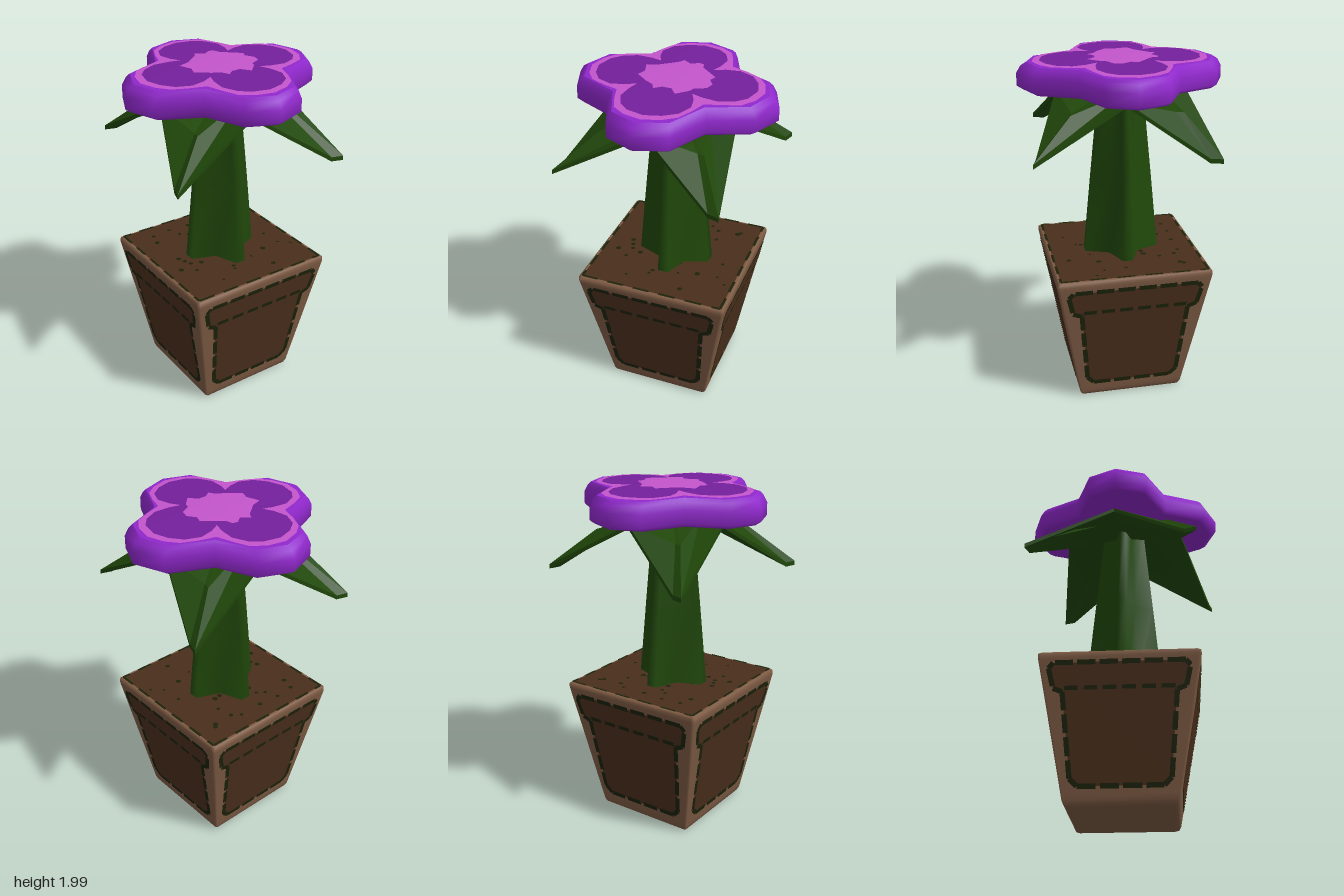
import * as THREE from 'three';

const mat = (name, color) => {
  const m = new THREE.MeshStandardMaterial({ color });
  m.name = name;
  return m;
};

// Repeat the [x, z] points of one quarter four times around the y axis
function quarterTurns(points) {
  const out = [];
  let quarter = points;
  for (let k = 0; k < 4; k++) {
    out.push(...quarter);
    quarter = quarter.map(([x, z]) => [-z, x]);
  }
  return out;
}
const ring = (outline, scale, y) => outline.map(([x, z]) => [x * scale, y, z * scale]);

// Skin a stack of equal rings, bottom to top, with optional centre heights for the end caps
function loft(rings, { bottom, top, flat = false } = {}) {
  const n = rings[0].length, pos = rings.flat(2), idx = [];
  for (let i = 0; i < rings.length - 1; i++) {
    for (let j = 0; j < n; j++) {
      const a = i * n + j, b = i * n + (j + 1) % n;
      idx.push(a, a + n, b, b, a + n, b + n);
    }
  }
  const cap = (points, y, up) => {
    const start = pos.length / 3;
    pos.push(...points.flat(), 0, y, 0);
    for (let j = 0; j < n; j++) {
      const a = start + j, b = start + (j + 1) % n;
      idx.push(start + n, up ? b : a, up ? a : b);
    }
  };
  if (bottom !== undefined) cap(rings[0], bottom, false);
  if (top !== undefined) cap(rings[rings.length - 1], top, true);
  let g = new THREE.BufferGeometry();
  g.setAttribute('position', new THREE.Float32BufferAttribute(pos, 3));
  g.setIndex(idx);
  if (flat) g = g.toNonIndexed();
  g.computeVertexNormals();
  return g;
}

// Flat polygon from [x, y] points
function polygon(points) {
  return new THREE.ShapeGeometry(new THREE.Shape(points.map(([x, y]) => new THREE.Vector2(x, y))));
}

// Broken line of narrow quads along a path
function dashes(path, width, dash = 0.1, gap = 0.022) {
  const quads = [];
  for (let i = 0; i < path.length - 1; i++) {
    const [ax, ay] = path[i], [bx, by] = path[i + 1];
    const len = Math.hypot(bx - ax, by - ay), ux = (bx - ax) / len, uy = (by - ay) / len;
    const w = width / 2;
    for (let s = 0; s < len; s += dash + gap) {
      const e = Math.min(s + dash, len);
      quads.push([[s, -w], [e, -w], [e, w], [s, w]].map(([u, v]) => [ax + ux * u - uy * v, ay + uy * u + ux * v]));
    }
  }
  return quads;
}

export function createModel() {
  const model = new THREE.Group();
  model.name = 'pottedFlower';
  const clay = mat('clay', 0x7e5b44), darkClay = mat('darkClay', 0x4a2f1c), moss = mat('moss', 0x1c220a);
  const green = mat('leafGreen', 0x20470a), violet = mat('violet', 0x9028cc);
  const purple = mat('deepPurple', 0x74209c), pink = mat('orchidPink', 0xc455cc);
  const add = (parent, name, geometry, material) => {
    const mesh = new THREE.Mesh(geometry, material);
    mesh.name = name;
    parent.add(mesh);
    return mesh;
  };

  // Square tapered pot with softened corners
  const square = quarterTurns([[1, -0.97], [1, 0.97]]);
  const half = y => 0.31 + 0.137 * (y - 0.03) / 0.77;
  const potRings = [[0.285, 0], [0.3, 0.008], [half(0.03), 0.03], [half(0.06), 0.06], [half(0.78), 0.78], [half(0.8), 0.8], [0.446, 0.82], [0.436, 0.827]];
  add(model, 'pot', loft(potRings.map(([s, y]) => ring(square, s, y)), { bottom: 0, top: 0.827 }), clay);

  // Painted panel on each side, shaped like a lipped pot
  const panelOutline = [[-0.36, 0.62], [-0.31, 0.6], [-0.27, 0.14], [-0.23, 0.1], [0.23, 0.1], [0.27, 0.14],
    [0.31, 0.6], [0.36, 0.62], [0.385, 0.73], [0.36, 0.76], [-0.36, 0.76], [-0.385, 0.73]];
  const lean = (g, offset) => {
    const p = g.attributes.position;
    for (let i = 0; i < p.count; i++) p.setZ(i, half(p.getY(i)) + offset);
    g.computeVertexNormals();
    return g;
  };
  const trim = [...dashes([...panelOutline, panelOutline[0]], 0.028), ...dashes([[-0.3, 0.62], [0.3, 0.62]], 0.024, 0.075, 0.03)];
  for (let k = 0; k < 4; k++) {
    const side = new THREE.Group();
    side.name = 'potSide' + (k + 1);
    side.rotation.y = k * Math.PI / 2;
    add(side, 'panel', lean(polygon(panelOutline), 0.002), darkClay);
    trim.forEach(q => add(side, 'panelTrim', lean(polygon(q), 0.004), moss));
    model.add(side);
  }

  // Soil with scattered specks
  const soil = new THREE.Group();
  soil.name = 'soil';
  soil.rotation.x = -Math.PI / 2;
  soil.position.y = 0.829;
  const s = 0.425;
  const corners = [[-s, -s], [s, -s], [s, s], [-s, s]];
  add(soil, 'soilSurface', polygon(corners), darkClay);
  let seed = 7;
  const random = () => (seed = (seed * 16807) % 2147483647) / 2147483647;
  for (let i = 0; i < 36; i++) {
    const speck = add(soil, 'speck', new THREE.CircleGeometry(0.009 + random() * 0.009, 6), moss);
    speck.position.set((random() - 0.5) * 0.76, (random() - 0.5) * 0.76, 0.002);
  }
  dashes([...corners, corners[0]], 0.016, 0.1, 0.06).forEach(q => {
    add(soil, 'soilEdge', polygon(q), moss).position.z = 0.002;
  });
  model.add(soil);

  // Four-ribbed tapering stem
  const ribs = quarterTurns([[1, -0.14], [1, 0.14], [0.38, 0.38]]);
  add(model, 'stem', loft([[0.22, 0.82], [0.175, 1.3], [0.125, 1.81]].map(([r, y]) => ring(ribs, r, y))), green);

  // Four flat drooping leaves joined into one collar
  const edge = quarterTurns([[0.36, 0.04], [0.44, 0.555], [0.375, 0.535]]);
  const crown = quarterTurns([[0.2, 0.02], [0.28, 0.33], [0.24, 0.32]]);
  const raise = (outline, valley, leaf) => outline.map(([x, z], i) => [x, i % 3 ? leaf : valley, z]);
  add(model, 'leaves', loft([
    raise(crown, 1.795, 1.695), raise(edge, 1.785, 1.505), raise(edge, 1.808, 1.53), raise(crown, 1.822, 1.735),
  ], { bottom: 1.8, top: 1.83, flat: true }), green);

  // Four-lobed blossom
  const lobes = quarterTurns([[0.515, -0.16], [0.58, 0.018], [0.505, 0.185], [0.275, 0.28]]);
  const lobesTop = quarterTurns([[0.475, -0.145], [0.525, 0.016], [0.465, 0.168], [0.252, 0.256]]);
  const flower = new THREE.Group();
  flower.name = 'flower';
  const body = [[0.94, 1.818], [1, 1.84], [1, 1.91], [0.96, 1.95]].map(([k, y]) => ring(lobes, k, y));
  add(flower, 'blossom', loft([...body, ring(lobesTop, 1, 1.97)], { bottom: 1.82, top: 1.985 }), violet);

  // Thin painted layers that follow the shallow dome of the blossom
  const layer = (name, outline, lift, material) => {
    const rim = outline.map(([x, z]) => [x, 1.986 - 0.03 * Math.hypot(x, z) + lift, z]);
    add(flower, name, loft([rim], { top: 1.986 + lift }), material);
  };
  layer('petalBorder', quarterTurns([[0.33, -0.21], [0.415, -0.168], [0.465, -0.1], [0.495, 0], [0.472, 0.1],
    [0.42, 0.175], [0.33, 0.212], [0.24, 0.24]]), 0.002, pink);
  layer('petals', quarterTurns([[0.22, -0.18], [0.3, -0.195], [0.38, -0.16], [0.43, -0.09], [0.455, 0],
    [0.43, 0.1], [0.38, 0.155], [0.3, 0.19], [0.21, 0.18], [0.15, 0.16]]), 0.005, purple);
  layer('flowerCentre', [[0.2, -0.06], [0.185, -0.02], [0.215, 0.03], [0.2, 0.08], [0.14, 0.11], [0.13, 0.14], [0.07, 0.2],
    [0.03, 0.15], [-0.02, 0.15], [-0.06, 0.18], [-0.08, 0.14], [-0.13, 0.11], [-0.2, 0.05], [-0.18, 0], [-0.205, -0.08],
    [-0.14, -0.1], [-0.05, -0.17], [-0.03, -0.205], [0.02, -0.17], [0.06, -0.2], [0.09, -0.19], [0.1, -0.15]], 0.008, pink);
  model.add(flower);
  return model;
}
